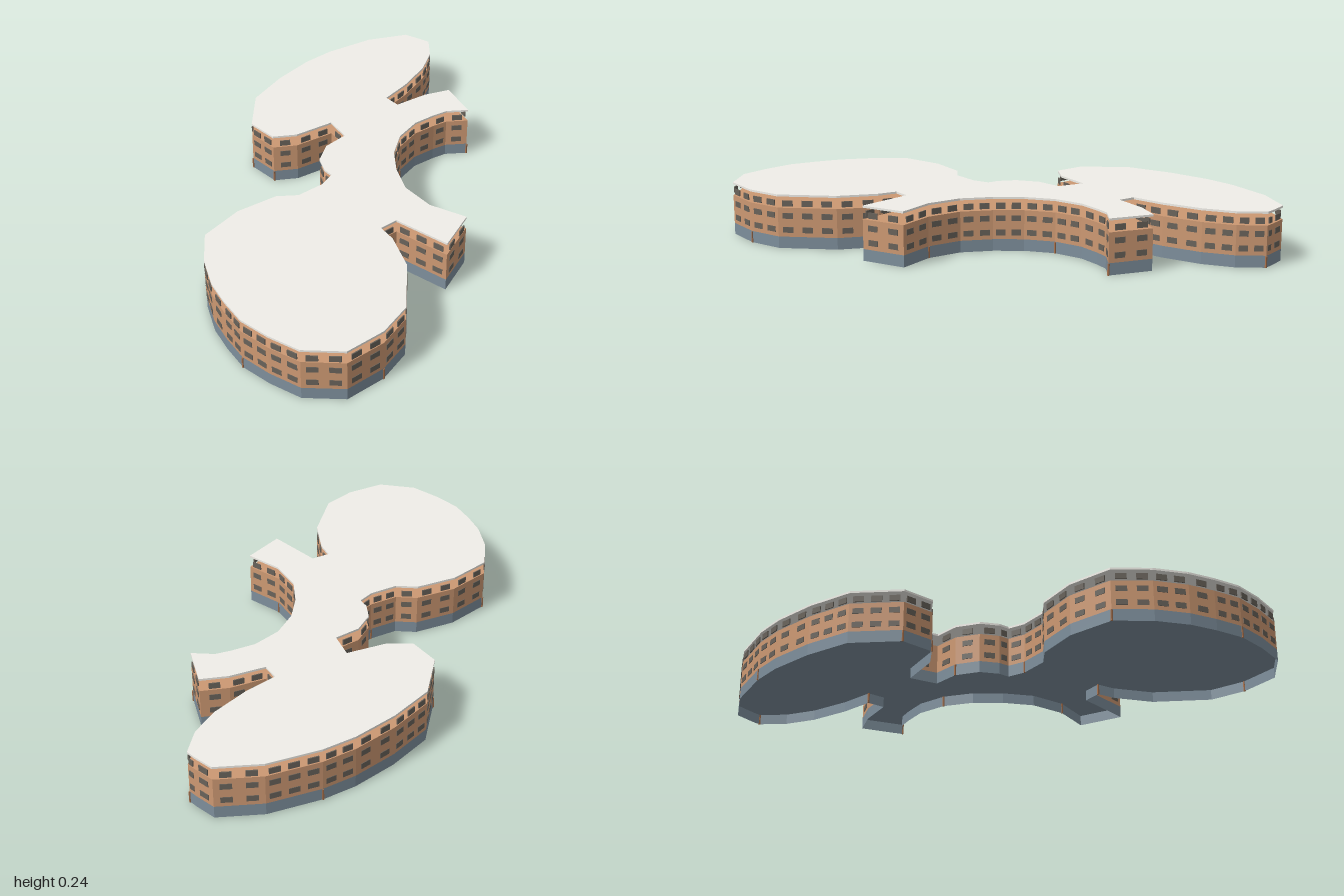
import * as THREE from 'three';
import { mergeGeometries } from 'three/addons/utils/BufferGeometryUtils.js';

// Floor plan as [x, z] corners
const plan = [
  // rear lobe
  [-0.15, -0.6], [0, -0.775], [0.2, -0.85], [0.4, -0.893], [0.55, -0.9], [0.78, -0.87], [0.96, -0.79],
  [0.99, -0.7], [1, -0.66], [0.92, -0.56], [0.8, -0.48], [0.63, -0.415], [0.48, -0.38],
  // right wing and concave front
  [0.48, -0.3], [0.64, -0.285], [0.757, -0.245], [0.705, -0.053], [0.62, -0.11], [0.55, -0.12], [0.44, -0.125],
  [0.31, -0.085], [0.2, 0], [0.12, 0.11], [0.06, 0.24], [0.055, 0.4], [0.117, 0.563], [-0.07, 0.648],
  [-0.125, 0.395], [-0.21, 0.395],
  // front lobe
  [-0.22, 0.48], [-0.29, 0.65], [-0.465, 0.845], [-0.62, 0.897], [-0.8, 0.897], [-0.93, 0.78], [-0.975, 0.64],
  [-1, 0.5], [-0.985, 0.37], [-0.96, 0.25], [-0.9, 0.11], [-0.8, -0.03], [-0.6, -0.08], [-0.41, -0.065],
  // link back to the rear lobe
  [-0.33, -0.01], [-0.2, -0.01], [-0.125, -0.04], [-0.125, -0.09], [-0.09, -0.17], [0, -0.235], [0.12, -0.25],
  [0.14, -0.375], [-0.045, -0.395], [-0.14, -0.45],
];

// Straight walls between neighbouring corners
const walls = plan.map(([ax, az], i) => {
  const [bx, bz] = plan[(i + 1) % plan.length];
  const dx = bx - ax, dz = bz - az;
  return { ax, az, dx, dz, length: Math.hypot(dx, dz), angle: Math.atan2(-dz, dx) };
});

const BASE = 0x7d8e9b;

function part(name, geometry, color, side = THREE.FrontSide) {
  const mesh = new THREE.Mesh(geometry, new THREE.MeshStandardMaterial({ color, side, flatShading: true }));
  mesh.name = name;
  return mesh;
}

// The plan extruded between two heights
function slab(name, y0, y1, color) {
  const shape = new THREE.Shape(plan.map(([x, z]) => new THREE.Vector2(x, -z)));
  const geo = new THREE.ExtrudeGeometry(shape, { depth: y1 - y0, bevelEnabled: false });
  geo.rotateX(-Math.PI / 2).translate(0, y0, 0);
  return part(name, geo, color);
}

// Thin walls around the plan, open underneath
function shell(name, height, color) {
  const panels = walls.map(({ ax, az, dx, dz, length, angle }) =>
    new THREE.PlaneGeometry(length, height).rotateY(angle + Math.PI)
      .translate(ax + dx / 2, height / 2, az + dz / 2));
  return part(name, mergeGeometries(panels), color, THREE.DoubleSide);
}

// One row of windows, spaced evenly along every wall
function windowRow(name, y, height) {
  const boxes = [];
  for (const { ax, az, dx, dz, length, angle } of walls) {
    const count = Math.max(1, Math.round(length / 0.085));
    const width = Math.min(0.047, (length / count) * 0.6);
    for (let k = 0; k < count; k++) {
      const t = (k + 0.5) / count;
      boxes.push(new THREE.BoxGeometry(width, height, 0.005).rotateY(angle)
        .translate(ax + dx * t, y, az + dz * t));
    }
  }
  return part(name, mergeGeometries(boxes), 0x68625a);
}

export function createModel() {
  const model = new THREE.Group();
  model.name = 'building';
  model.add(
    shell('groundFloorWalls', 0.052, BASE),
    slab('groundFloorCeiling', 0.047, 0.052, BASE),
    slab('brickWalls', 0.052, 0.182, 0xcc9872),
    slab('roof', 0.232, 0.241, 0xf0eee8),
    windowRow('lowerWindows', 0.083, 0.025),
    windowRow('middleWindows', 0.146, 0.025),
    windowRow('topWindows', 0.202, 0.026),
  );

  // Slim brick posts at some ground floor corners
  const posts = plan.filter((_, i) => i % 4 === 0)
    .map(([x, z]) => new THREE.BoxGeometry(0.007, 0.05, 0.007).translate(x, 0.025, z));
  model.add(part('cornerPosts', mergeGeometries(posts), 0xa87350));
  return model;
}
